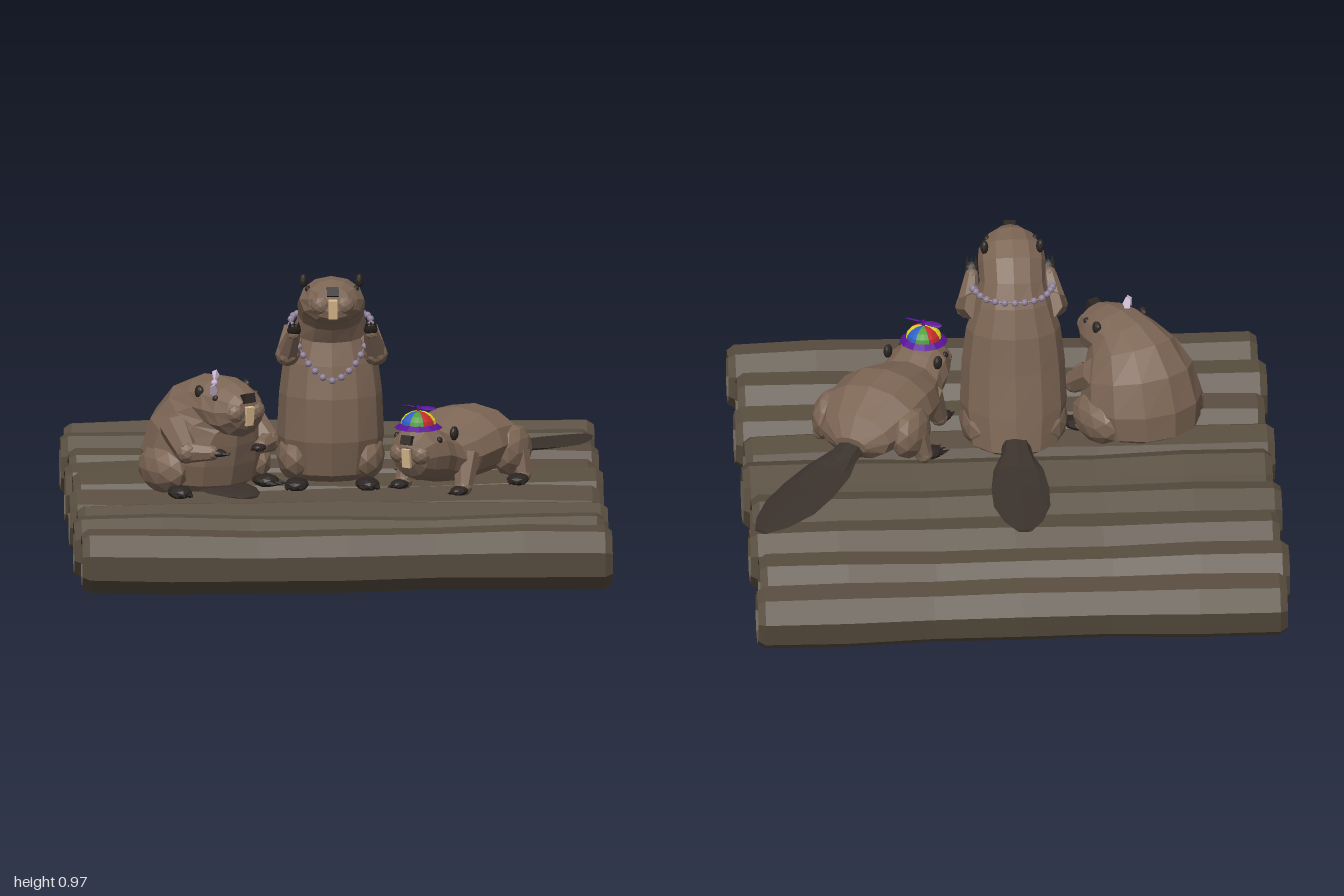
import * as THREE from 'three';

const mat = (color, side = THREE.FrontSide) => new THREE.MeshStandardMaterial({ color, flatShading: true, side });
const M = {
  log: mat(0x574c3e), fur: mat(0x7d6655), tail: mat(0x3b322c), dark: mat(0x2b2522), tooth: mat(0xd8b88c),
  bead: mat(0x8f8097), bow: mat(0xc8b4d0), purple: mat(0x5a1496, THREE.DoubleSide),
};
const CAP_COLORS = [0xe8d92c, 0x2f5fc4, 0x4f9a3a, 0xc42a2a].map(c => mat(c));

function add(parent, name, geo, material, pos = [0, 0, 0], rot = [0, 0, 0], scale = [1, 1, 1]) {
  const m = new THREE.Mesh(geo, material);
  m.name = name;
  m.position.set(...pos);
  m.rotation.set(...rot);
  m.scale.set(...scale);
  parent.add(m);
  return m;
}

// Skin over elliptical sections: [backZ, backY, frontZ, frontY, halfWidth]
function loft(sections, sides = 12) {
  const pos = [], idx = [], n = sections.length;
  for (const [bz, by, fz, fy, w] of sections)
    for (let j = 0; j < sides; j++) {
      const t = j / sides * Math.PI * 2, c = Math.cos(t) / 2;
      pos.push(w * Math.sin(t), (by + fy) / 2 + (by - fy) * c, (bz + fz) / 2 + (bz - fz) * c);
    }
  for (const [bz, by, fz, fy] of [sections[0], sections[n - 1]]) pos.push(0, (by + fy) / 2, (bz + fz) / 2);
  for (let j = 0; j < sides; j++) {
    const k = (j + 1) % sides, last = (n - 1) * sides;
    for (let i = 0; i < n - 1; i++) {
      const a = i * sides + j, b = i * sides + k;
      idx.push(a, a + sides, b, a + sides, b + sides, b);
    }
    idx.push(n * sides, j, k, n * sides + 1, last + k, last + j);
  }
  const g = new THREE.BufferGeometry();
  g.setAttribute('position', new THREE.Float32BufferAttribute(pos, 3));
  g.setIndex(idx);
  g.computeVertexNormals();
  return g;
}

const ball = new THREE.IcosahedronGeometry(1, 1);
const blob = (p, name, material, pos, scale, rot) => add(p, name, ball, material, pos, rot, scale);

// Tapered limb with a rounded joint at its far end
function limb(p, name, a, b, ra, rb) {
  const A = new THREE.Vector3(...a), B = new THREE.Vector3(...b), d = B.clone().sub(A);
  const m = add(p, name, new THREE.CylinderGeometry(rb, ra, d.length(), 7), M.fur, A.add(B).multiplyScalar(0.5).toArray());
  m.quaternion.setFromUnitVectors(new THREE.Vector3(0, 1, 0), d.normalize());
  blob(p, name + 'Joint', M.fur, b, [rb, rb, rb]);
}

// Paw with three claws
function paw(p, name, pos, size, rot = [0, 0, 0]) {
  const g = new THREE.Group();
  g.name = name;
  g.position.set(...pos);
  g.rotation.set(...rot);
  blob(g, 'palm', M.dark, [0, 0, 0], [size, size * 0.55, size * 1.2]);
  for (const x of [-0.6, 0, 0.6])
    add(g, 'claw', new THREE.ConeGeometry(size * 0.28, size * 1.1, 4), M.dark, [x * size, -size * 0.1, size * 1.3], [Math.PI / 2, 0, 0]);
  p.add(g);
}

// Nose, teeth, eyes and ears, placed from the tip of the nose
function face(p, y, z) {
  const g = new THREE.Group();
  g.name = 'face';
  g.position.set(0, y, z);
  add(g, 'nose', new THREE.BoxGeometry(0.04, 0.032, 0.03), M.dark, [0, 0.005, -0.008], [-0.3, 0, 0]);
  add(g, 'teeth', new THREE.BoxGeometry(0.03, 0.065, 0.02), M.tooth, [0, -0.055, -0.004], [0.12, 0, 0]);
  for (const s of [-1, 1]) {
    blob(g, 'cheek', M.fur, [s * 0.04, -0.045, -0.025], [0.035, 0.035, 0.03]);
    blob(g, 'eye', M.dark, [s * 0.082, 0, -0.085], [0.01, 0.012, 0.012]);
    blob(g, 'ear', M.dark, [s * 0.095, 0.01, -0.165], [0.014, 0.025, 0.02]);
  }
  p.add(g);
}

// Flat paddle tail running along its own +z and sinking to the deck
function tail(p, length, startY, pos, yaw) {
  const rows = [[0, 0.035, 0.045], [0.15, 0.026, 0.055], [0.3, 0.014, 0.085], [0.5, 0.01, 0.098],
    [0.7, 0.01, 0.096], [0.88, 0.008, 0.065], [1, 0.004, 0.025]];
  const g = loft(rows.map(([t, h, w]) => {
    const y = 0.25 + (startY - 0.25) * (1 - t) ** 1.5, z = t * length;
    return [z, y + h, z, y - h, w];
  }), 8);
  add(p, 'tail', g, M.tail, pos, [0, yaw, 0]);
}

function beaver(name, x, z, yaw, sections) {
  const g = new THREE.Group();
  g.name = name;
  g.position.set(x, 0, z);
  g.rotation.y = yaw;
  add(g, 'body', loft(sections), M.fur);
  return g;
}

function standingBeaver() {
  const g = beaver('standingBeaver', -0.02, 0, 0, [
    [0, 0.25, 0.22, 0.25, 0.13], [-0.05, 0.28, 0.27, 0.28, 0.165], [-0.03, 0.4, 0.3, 0.4, 0.182],
    [0, 0.55, 0.3, 0.55, 0.175], [0.02, 0.68, 0.28, 0.66, 0.16], [0.05, 0.78, 0.26, 0.74, 0.13],
    [0.09, 0.86, 0.29, 0.79, 0.112], [0.15, 0.93, 0.32, 0.82, 0.115], [0.22, 0.965, 0.35, 0.83, 0.11],
    [0.3, 0.97, 0.365, 0.845, 0.085], [0.35, 0.955, 0.37, 0.87, 0.055]]);
  face(g, 0.935, 0.37);
  for (const s of [-1, 1]) {
    limb(g, 'upperArm', [s * 0.12, 0.75, 0.15], [s * 0.15, 0.7, 0.245], 0.05, 0.042);
    limb(g, 'forearm', [s * 0.15, 0.7, 0.245], [s * 0.132, 0.785, 0.31], 0.04, 0.024);
    paw(g, 'hand', [s * 0.13, 0.8, 0.325], 0.024, [-1, 0, 0]);
    blob(g, 'thigh', M.fur, [s * 0.12, 0.33, 0.14], [0.065, 0.09, 0.13]);
    paw(g, 'foot', [s * 0.12, 0.258, 0.29], 0.042, [0, s * 0.2, 0]);
  }
  tail(g, 0.55, 0.31, [0, 0, -0.005], Math.PI);
  // Bead necklace
  const half = [[0.09, 0.81, 0.075], [0.135, 0.805, 0.17], [0.12, 0.75, 0.265], [0.07, 0.665, 0.3]];
  const pts = [[0, 0.81, 0.045], ...half, [0, 0.62, 0.31], ...half.map(([x, y, z]) => [-x, y, z]).reverse()];
  const curve = new THREE.CatmullRomCurve3(pts.map(q => new THREE.Vector3(...q)), true);
  add(g, 'necklaceString', new THREE.TubeGeometry(curve, 48, 0.003, 4, true), M.bead);
  for (const q of curve.getSpacedPoints(30).slice(1)) blob(g, 'bead', M.bead, q.toArray(), [0.012, 0.012, 0.012]);
  return g;
}

function sittingBeaver() {
  const g = beaver('sittingBeaver', -0.46, 0.2, 0.55, [
    [-0.12, 0.245, 0.14, 0.245, 0.14], [-0.2, 0.29, 0.18, 0.27, 0.195], [-0.2, 0.38, 0.2, 0.34, 0.21],
    [-0.16, 0.5, 0.215, 0.41, 0.19], [-0.08, 0.59, 0.22, 0.45, 0.15], [0.02, 0.63, 0.22, 0.46, 0.12],
    [0.12, 0.64, 0.23, 0.45, 0.115], [0.2, 0.63, 0.25, 0.45, 0.1], [0.26, 0.61, 0.28, 0.48, 0.075],
    [0.285, 0.585, 0.295, 0.51, 0.045]]);
  face(g, 0.585, 0.295);
  for (const s of [-1, 1]) {
    limb(g, 'upperArm', [s * 0.15, 0.47, 0.06], [s * 0.165, 0.4, 0.16], 0.055, 0.04);
    limb(g, 'forearm', [s * 0.165, 0.4, 0.16], [s * 0.1, 0.4, 0.215], 0.038, 0.026);
    paw(g, 'hand', [s * 0.085, 0.4, 0.225], 0.026, [0, -s * 0.9, 0]);
    blob(g, 'thigh', M.fur, [s * 0.17, 0.32, 0.02], [0.065, 0.085, 0.12]);
    paw(g, 'foot', [s * 0.175, 0.258, 0.13], 0.042, [0, s * 0.3, 0]);
  }
  tail(g, 0.4, 0.27, [0, 0, -0.09], 0);
  // Hair bow
  const bow = new THREE.Group();
  bow.name = 'bow';
  bow.position.set(-0.06, 0.63, 0.17);
  bow.rotation.set(0, 0.9, 0.4);
  blob(bow, 'knot', M.bow, [0, 0, 0], [0.012, 0.012, 0.012]);
  for (const s of [-1, 1])
    add(bow, 'loop', new THREE.ConeGeometry(0.024, 0.045, 5), M.bow, [s * 0.025, 0, 0], [0, 0, s * Math.PI / 2], [1, 1, 0.6]);
  g.add(bow);
  return g;
}

function crawlingBeaver() {
  const g = beaver('crawlingBeaver', 0.4, 0.2, -0.53, [
    [-0.29, 0.36, -0.28, 0.3, 0.06], [-0.25, 0.43, -0.25, 0.27, 0.13], [-0.14, 0.49, -0.14, 0.26, 0.178],
    [-0.02, 0.5, -0.02, 0.26, 0.178], [0.08, 0.47, 0.08, 0.26, 0.155], [0.15, 0.45, 0.14, 0.27, 0.125],
    [0.19, 0.47, 0.18, 0.28, 0.112], [0.24, 0.49, 0.22, 0.29, 0.11], [0.3, 0.485, 0.27, 0.3, 0.09],
    [0.335, 0.46, 0.31, 0.32, 0.07], [0.345, 0.43, 0.335, 0.36, 0.04]]);
  face(g, 0.445, 0.345);
  for (const s of [-1, 1]) {
    blob(g, 'thigh', M.fur, [s * 0.15, 0.345, -0.13], [0.06, 0.09, 0.1]);
    limb(g, 'hindLeg', [s * 0.17, 0.34, -0.13], [s * 0.195, 0.265, -0.12], 0.045, 0.03);
    paw(g, 'hindFoot', [s * 0.2, 0.258, -0.08], 0.038, [0, s * 0.4, 0]);
    limb(g, 'frontLeg', [s * 0.1, 0.37, 0.1], [s * 0.115, 0.265, 0.15], 0.05, 0.03);
    paw(g, 'frontFoot', [s * 0.115, 0.258, 0.18], 0.03);
  }
  tail(g, 0.62, 0.32, [0, 0, -0.235], Math.PI - 0.08);
  // Cap with coloured wedges and a propeller
  const cap = new THREE.Group();
  cap.name = 'propellerCap';
  cap.position.set(0, 0.485, 0.26);
  add(cap, 'brim', new THREE.CylinderGeometry(0.06, 0.082, 0.016, 12, 1, true), M.purple, [0, 0.004, 0]);
  for (let i = 0; i < 8; i++)
    add(cap, 'capWedge', new THREE.SphereGeometry(0.062, 2, 4, i * Math.PI / 4, Math.PI / 4, 0, Math.PI / 2),
      CAP_COLORS[i % 4], [0, 0.005, 0], [0, 0, 0], [1, 0.8, 1]);
  add(cap, 'propellerPin', new THREE.CylinderGeometry(0.005, 0.005, 0.025, 6), M.purple, [0, 0.06, 0]);
  for (const s of [-1, 1])
    add(cap, 'propellerBlade', ball, M.purple, [s * 0.036, 0.066, 0], [s * 0.35, 0, 0], [0.034, 0.003, 0.013]);
  g.add(cap);
  return g;
}

// Eight-sided log with recessed ends and a gentle bend
function log(i) {
  const r = i === 4 ? 0.117 : 0.109, half = [];
  for (const [k, y] of [[0, 0.88], [0.76, 0.88], [0.84, 0.9], [1, 0.875], [1.03, 0.6], [0.97, 0.3]]) half.push([k * r, y]);
  const profile = [...half.map(([x, y]) => [x, -y]), [r, 0], ...half.slice().reverse()];
  const geo = new THREE.LatheGeometry(profile.map(q => new THREE.Vector2(...q)), 8);
  geo.rotateY(0.2 + i * 0.13).rotateZ(-Math.PI / 2);
  const p = geo.attributes.position;
  for (let v = 0; v < p.count; v++) {
    const x = p.getX(v);
    p.setY(v, p.getY(v) + 0.006 * Math.sin(x * 3.6 + 2.5 + i * 2));
    p.setZ(v, p.getZ(v) + 0.007 * Math.sin(x * 3.6 + i * 1.7));
  }
  geo.computeVertexNormals();
  return geo;
}

export function createModel() {
  const model = new THREE.Group();
  model.name = 'beaverRaft';
  const raft = new THREE.Group();
  raft.name = 'raft';
  for (let i = 0; i < 9; i++) add(raft, 'log', log(i), M.log, [i % 2 ? -0.01 : 0.01, 0.122, (i - 4) * 0.2215]);
  model.add(raft, standingBeaver(), sittingBeaver(), crawlingBeaver());
  return model;
}
